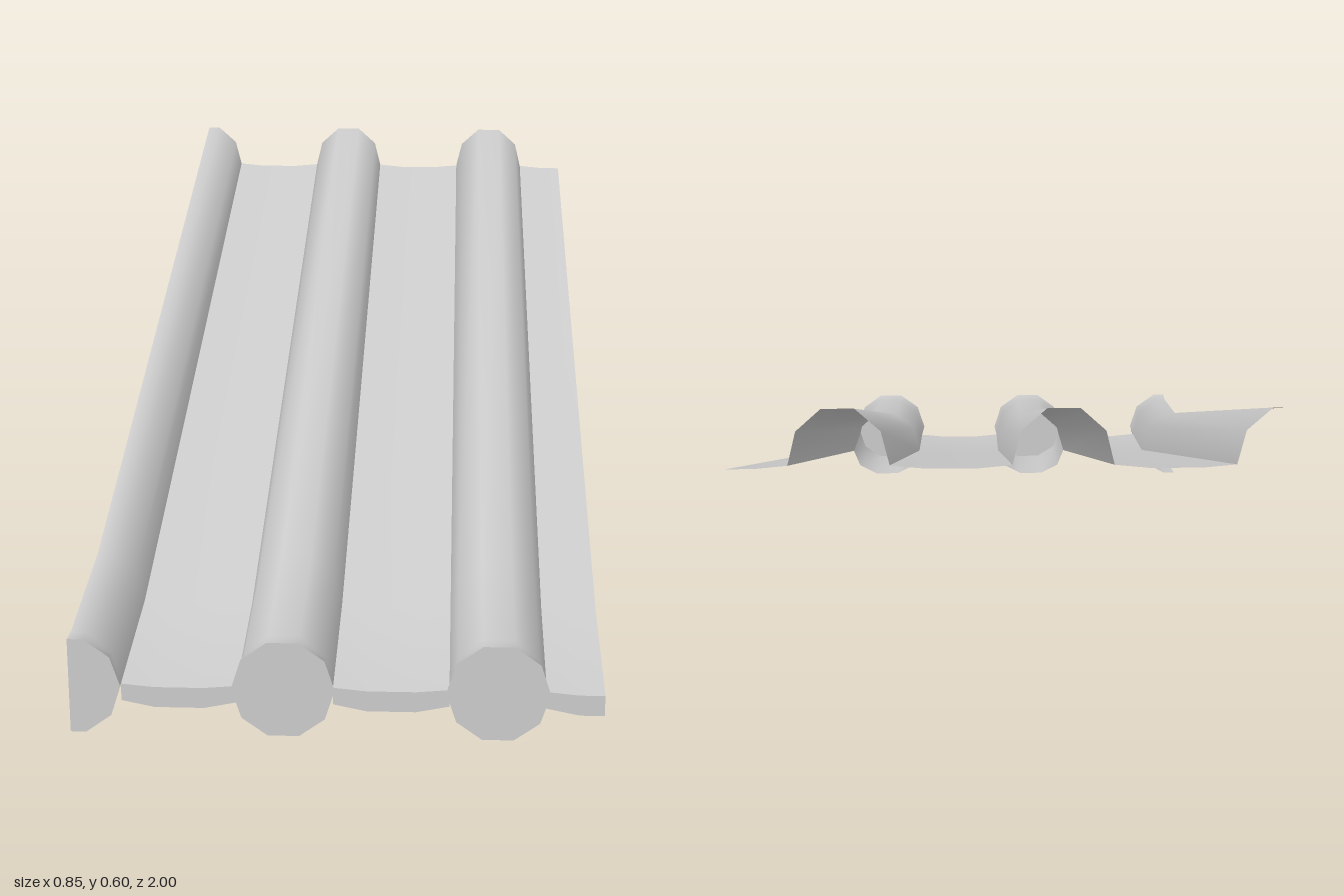
import * as THREE from 'three';

const PITCH = 0.339;
const X0 = -1.25 * PITCH; // axis of the first (half) ridge
const material = new THREE.MeshStandardMaterial({ color: 0xcccccc, side: THREE.DoubleSide });

// Half profiles as [offset from axis, height above the valley line]
const UPPER = [[0.077, 0.005], [0.064, 0.058], [0.025, 0.093]];
const LOWER = [[0.077, 0.005], [0.063, -0.03], [0.025, -0.05]];
// Flared mouth of each ridge, absolute heights
const MOUTH_UPPER = [[0.082, 0.08], [0.066, 0.13], [0.025, 0.16]];
const MOUTH_LOWER = [[0.082, 0.08], [0.066, 0.03], [0.025, 0]];

// Valley line: [z, y]
const BACK = [-1, 0.502], BEND = [0.7, 0.09], FRONT = [0.965, 0.063];

// Full profile from -x to +x, or only the +x half starting on the axis
function mirrorProfile(half, halfOnly) {
  const right = [...half].reverse();
  if (halfOnly) return [[0, right[0][1]], ...right];
  return [...half.map(([x, y]) => [-x, y]), ...right];
}

// Places a profile at a station of the valley line
function section(profile, x, [z, y]) {
  return profile.map(([px, py]) => [x + px, y + py, z]);
}

// Skins a surface through cross-sections with equal point counts
function loft(name, sections) {
  const n = sections[0].length, index = [];
  for (let s = 0; s < sections.length - 1; s++) {
    for (let i = 0; i < n - 1; i++) {
      const a = s * n + i, b = a + n;
      index.push(a, b, a + 1, a + 1, b, b + 1);
    }
  }
  const geometry = new THREE.BufferGeometry();
  geometry.setAttribute('position', new THREE.Float32BufferAttribute(sections.flat(2), 3));
  geometry.setIndex(index);
  geometry.computeVertexNormals();
  const mesh = new THREE.Mesh(geometry, material);
  mesh.name = name;
  return mesh;
}

export function createModel() {
  const group = new THREE.Group();
  group.name = 'roofTiles';

  for (let i = 0; i < 3; i++) {
    const x = X0 + i * PITCH, first = i === 0;
    const upper = mirrorProfile(UPPER, first), lower = mirrorProfile(LOWER, first);
    const mouthUpper = mirrorProfile(MOUTH_UPPER, first), mouthLower = mirrorProfile(MOUTH_LOWER, first);

    // Raised cover tile with a flared front end
    group.add(loft('ridge', [
      section(upper, x, BACK), section(upper, x, BEND),
      section(upper, x, FRONT), section(mouthUpper, x, [1, 0]),
    ]));

    // Underside of the tube at the eave
    group.add(loft('ridgeUnderside', [
      section(lower, x, BEND), section(lower, x, FRONT), section(mouthLower, x, [1, 0]),
    ]));

    // Flat ten-sided end cap
    const outline = [...mouthUpper, ...[...mouthLower].reverse()];
    const cap = new THREE.Mesh(
      new THREE.ShapeGeometry(new THREE.Shape(outline.map(([px, py]) => new THREE.Vector2(px, py)))), material);
    cap.name = 'endCap';
    cap.position.set(x, 0, 1);
    group.add(cap);

    // Shallow valley beside the ridge; the last one is cut at its middle
    const valley = [[0.077, 0.005], [0.13, 0]];
    if (i < 2) valley.push([PITCH - 0.13, 0], [PITCH - 0.077, 0.005]);
    else valley.push([PITCH / 2, 0]);
    group.add(loft('valley', [section(valley, x, BACK), section(valley, x, BEND), section(valley, x, FRONT)]));

    // Drip lip hanging from the valley's front edge
    const drip = valley.map(([px, py]) => [px, py * 2.2 - 0.035]);
    group.add(loft('dripLip', [section(valley, x, FRONT), section(drip, x, FRONT)]));
  }
  return group;
}
